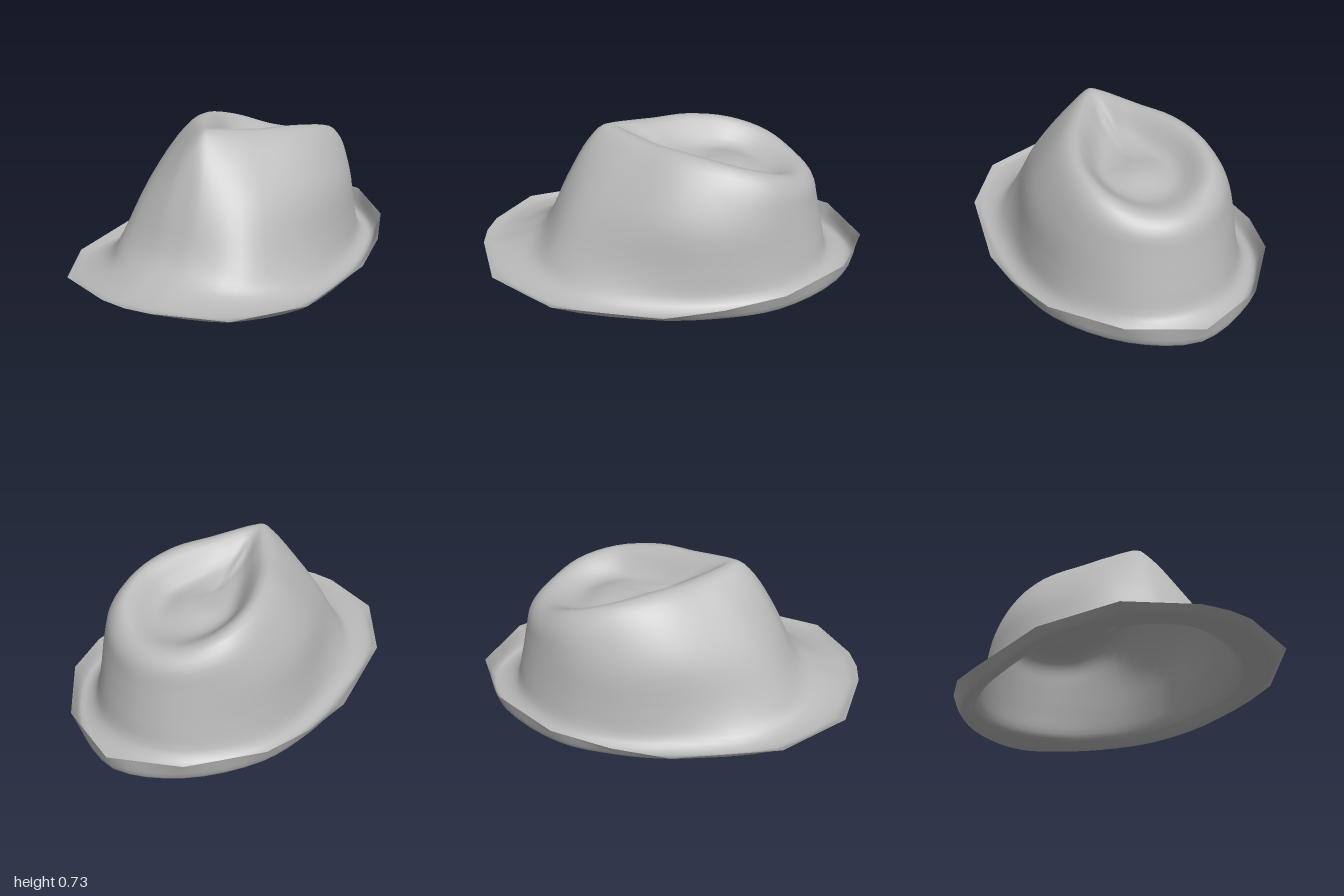
import * as THREE from 'three';

const V = (x, y, z) => new THREE.Vector3(x, y, z);

// Half rings, front to back on the +x side; each is mirrored into a closed loop.
const edge = [[0, .095, 1], [.13, .095, .985], [.44, .08, .86], [.64, .055, .53], [.695, .05, 0],
  [.67, .09, -.28], [.58, .12, -.57], [.33, .14, -.87], [0, .13, -1]];
const roll = [[0, .08, .93], [.12, .08, .92], [.39, .06, .8], [.59, .035, .5], [.63, .015, 0],
  [.615, .02, -.26], [.54, .03, -.54], [.3, .035, -.83], [0, .03, -.95]];
const base = [[0, .11, .8], [.12, .11, .78], [.35, .085, .66], [.53, .06, .4], [.565, .06, 0],
  [.55, .06, -.25], [.47, .065, -.52], [.25, .07, -.76], [0, .07, -.83]];
const low = [[0, .19, .665], [.12, .19, .655], [.33, .19, .57], [.46, .18, .34], [.525, .19, 0],
  [.52, .2, -.25], [.44, .2, -.5], [.24, .2, -.72], [0, .2, -.79]];
const mid = [[0, .42, .55], [.1, .42, .54], [.26, .42, .45], [.38, .41, .27], [.475, .42, 0],
  [.485, .4, -.25], [.41, .39, -.49], [.23, .37, -.68], [0, .35, -.755]];
const shoulder = [[0, .64, .425], [.06, .635, .41], [.16, .63, .31], [.25, .62, .18], [.35, .63, -.05],
  [.39, .595, -.27], [.35, .545, -.5], [.2, .49, -.66], [0, .475, -.72]];
const crest = [[0, .73, .31], [.04, .725, .27], [.1, .712, .18], [.16, .7, .08], [.24, .69, -.08],
  [.3, .655, -.3], [.26, .6, -.49], [.14, .545, -.6], [0, .53, -.64]];
const dent = [[0, .64, .13], [.025, .62, .1], [.06, .6, .03], [.11, .58, -.06], [.16, .565, -.17],
  [.19, .55, -.28], [.16, .53, -.39], [.09, .515, -.46], [0, .51, -.48]];
const floor = dent.map(([x, y, z]) => [x * .45, .555, -.22 + (z + .22) * .45]);
const pole = dent.map(() => [0, .56, -.22]);

const AROUND = 64; // four samples per station

// Closed loop of samples; straight keeps the facets of the brim outline.
function loop(half, straight = false) {
  const pts = half.map(p => V(...p));
  for (let i = half.length - 2; i > 0; i--) pts.push(V(-half[i][0], half[i][1], half[i][2]));
  const curve = new THREE.CatmullRomCurve3(pts, true, 'centripetal');
  return Array.from({ length: AROUND }, (_, i) => {
    if (!straight) return curve.getPoint(i / AROUND);
    const t = i / AROUND * pts.length, k = Math.floor(t);
    return pts[k].clone().lerp(pts[(k + 1) % pts.length], t - k);
  });
}

// Skin through loops ordered outside to inside, with smooth cross-sections.
function skin(loops, steps) {
  const rows = (loops.length - 1) * steps;
  const pos = [], index = [];
  const ribs = loops[0].map((_, i) =>
    new THREE.CatmullRomCurve3(loops.map(l => l[i]), false, 'catmullrom', .5));
  for (let r = 0; r <= rows; r++)
    for (const rib of ribs) pos.push(...rib.getPoint(r / rows).toArray());
  for (let r = 0; r < rows; r++)
    for (let i = 0; i < AROUND; i++) {
      const j = (i + 1) % AROUND;
      const a = r * AROUND + i, b = r * AROUND + j, c = a + AROUND, d = b + AROUND;
      index.push(a, b, c, b, d, c);
    }
  const g = new THREE.BufferGeometry();
  g.setAttribute('position', new THREE.Float32BufferAttribute(pos, 3));
  g.setIndex(index);
  g.computeVertexNormals();
  return g;
}

export function createModel() {
  const group = new THREE.Group();
  group.name = 'hat';
  const felt = new THREE.MeshStandardMaterial({ color: 0xb8b8b8, side: THREE.DoubleSide });
  felt.name = 'grey felt';

  const add = (name, geometry) => {
    const mesh = new THREE.Mesh(geometry, felt);
    mesh.name = name;
    group.add(mesh);
  };

  // Crown with its teardrop dent, flowing into the top of the brim
  const rim = loop(edge, true);
  const rings = [roll, base, low, mid, shoulder, crest, dent, floor, pole].map(h => loop(h));
  add('crownAndBrim', skin([rim, ...rings], 4));

  // Lower face of the brim, leaving the head opening free
  const lower = h => loop(h.map(([x, y, z]) => [x, y - .015, z]));
  add('brimUnderside', skin([lower(base), lower(roll), rim], 4));

  return group;
}
